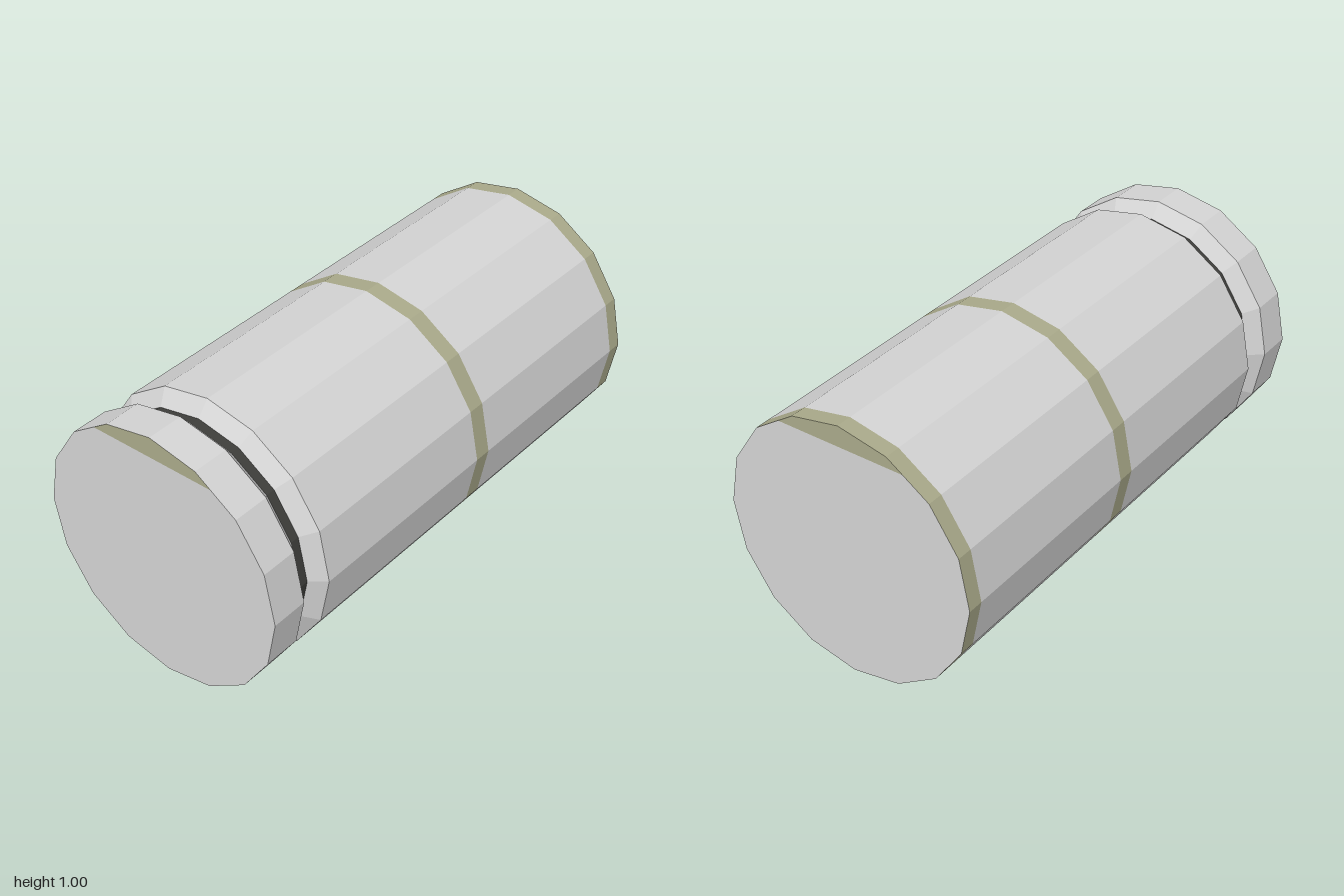
import * as THREE from 'three';

const R = 0.5, SIDES = 16, GROOVE_R = 0.445;

export function createModel() {
  const group = new THREE.Group();
  group.name = 'canister';
  const material = (name, color) => {
    const m = new THREE.MeshStandardMaterial({ color, flatShading: true });
    m.name = name;
    return m;
  };
  const grey = material('light grey', 0xd3d3d3);
  const olive = material('olive', 0xa9a98a);
  const dark = material('dark grey', 0x3e3e3b);

  const add = (name, geometry, mat, z) => {
    const mesh = new THREE.Mesh(geometry, mat);
    mesh.name = name;
    mesh.position.set(0, R, z);
    group.add(mesh);
    return mesh;
  };

  // Open ring along z, from the back end z0 to the front end z1
  const ring = (name, z0, z1, r0, r1, mat) => {
    const g = new THREE.CylinderGeometry(r1, r0, z1 - z0, SIDES, 1, true);
    g.rotateX(Math.PI / 2);
    add(name, g, mat, (z0 + z1) / 2);
  };

  // Body with two painted bands
  ring('rearBand', -1, -0.94, R, R, olive);
  ring('rearBody', -0.94, -0.145, R, R, grey);
  ring('middleBand', -0.145, -0.077, R, R, olive);
  ring('frontBody', -0.077, 0.735, R, R, grey);

  // Groove and front rim
  ring('grooveRearSlope', 0.735, 0.78, R, GROOVE_R, grey);
  ring('grooveFloor', 0.78, 0.815, GROOVE_R, GROOVE_R, dark);
  ring('grooveFrontSlope', 0.815, 0.86, GROOVE_R, R, grey);
  ring('frontRim', 0.86, 1, R, R, grey);

  // End faces, each split by a straight line into a grey face and an olive top
  const corner = (i) => {
    const a = (i / SIDES) * Math.PI * 2;
    return new THREE.Vector2(R * Math.cos(a), R * Math.sin(a));
  };
  const cutY = 0.42;
  const right = corner(2).lerp(corner(3), (cutY - corner(2).y) / (corner(3).y - corner(2).y));
  const left = new THREE.Vector2(-right.x, right.y);
  const corners = (from, to) => Array.from({ length: to - from + 1 }, (_, i) => corner(from + i));
  const topShape = new THREE.Shape([right, ...corners(3, 5), left]);
  const mainShape = new THREE.Shape([left, ...corners(6, 18), right]);

  for (const [end, z, turn] of [['front', 1, 0], ['back', -1, Math.PI]]) {
    add(end + 'Face', new THREE.ShapeGeometry(mainShape), grey, z).rotation.y = turn;
    add(end + 'FaceMark', new THREE.ShapeGeometry(topShape), olive, z).rotation.y = turn;
  }
  return group;
}
